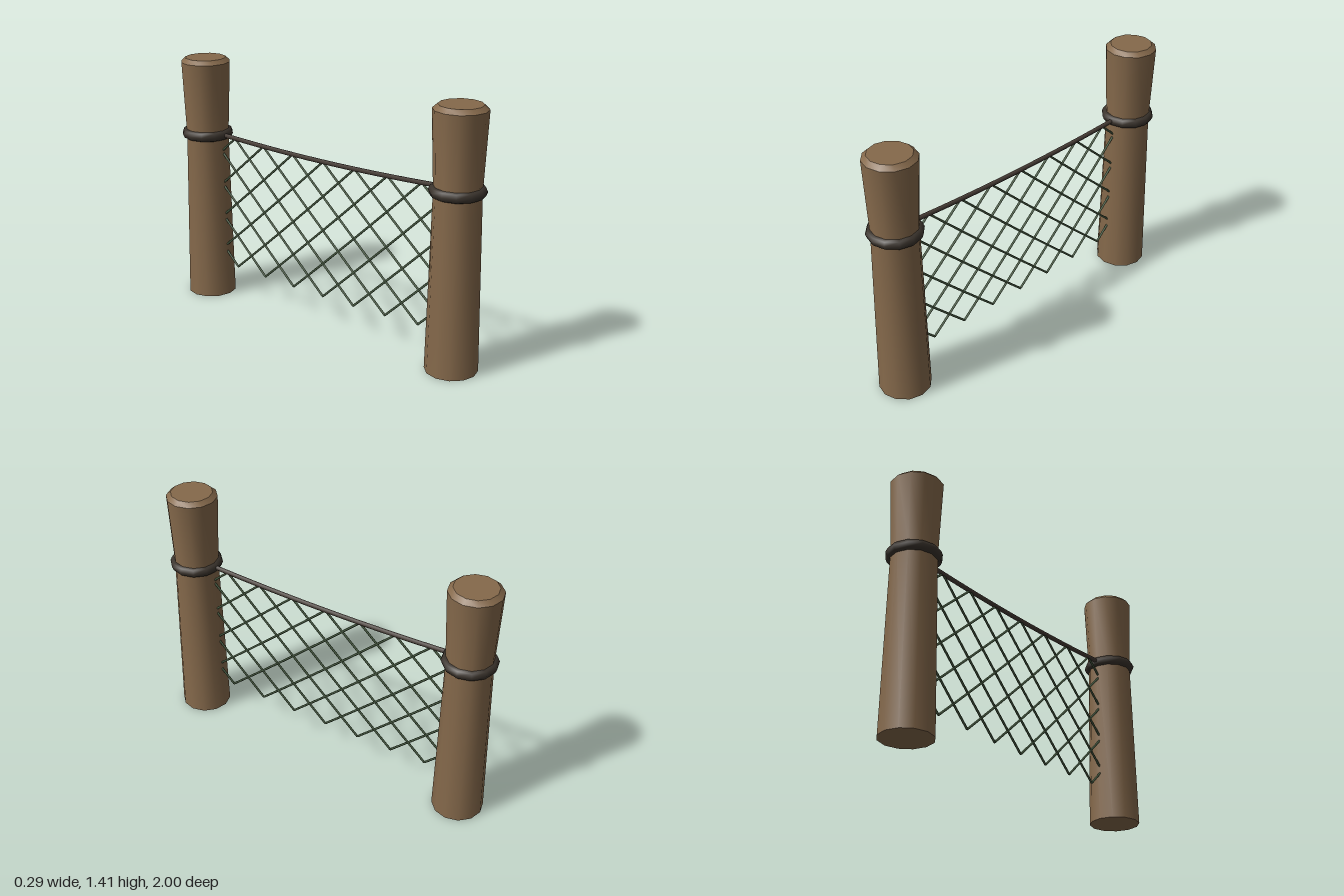
import * as THREE from 'three';
import { toCreasedNormals } from 'three/addons/utils/BufferGeometryUtils.js';

const POST_Z = 0.852;
const wood = new THREE.MeshStandardMaterial({ color: 0x85694b });
const binding = new THREE.MeshStandardMaterial({ color: 0x3b342d });
const ropeMat = new THREE.MeshStandardMaterial({ color: 0x463c35 });
const netMat = new THREE.MeshStandardMaterial({ color: 0x4a5e44 });

function mesh(name, geometry, material, parent) {
  const m = new THREE.Mesh(geometry, material);
  m.name = name;
  parent.add(m);
  return m;
}

// Height lost to the slack of the rope at a given z
const sag = (z) => 0.02 * Math.max(0, 1 - (z / 0.74) ** 2);

// Round bar between two points
function strand(a, b, radius, sides, parent) {
  const dir = b.clone().sub(a);
  const bar = mesh('netStrand', new THREE.CylinderGeometry(radius, radius, dir.length(), sides), netMat, parent);
  bar.position.copy(a).add(b).multiplyScalar(0.5);
  bar.quaternion.setFromUnitVectors(new THREE.Vector3(0, 1, 0), dir.normalize());
}

export function createModel() {
  const group = new THREE.Group();
  group.name = 'netFence';

  // Waisted posts with a bevelled top, each wrapped by a binding ring
  const profile = [[0, 0], [0.14, 0], [0.122, 0.97], [0.14, 1.385], [0.114, 1.408], [0, 1.408]]
    .map(([x, y]) => new THREE.Vector2(x, y));
  const postGeo = toCreasedNormals(new THREE.LatheGeometry(profile, 12), Math.PI / 5);
  const ringGeo = new THREE.TorusGeometry(0.117, 0.03, 8, 12).rotateX(Math.PI / 2);
  for (const [name, side] of [['front', 1], ['back', -1]]) {
    const post = new THREE.Group();
    post.name = name + 'PostGroup';
    post.position.z = side * POST_Z;
    group.add(post);
    mesh(name + 'Post', postGeo, wood, post);
    mesh(name + 'Binding', ringGeo, binding, post).position.y = 0.971;
  }

  // Sagging top rope
  const points = [];
  for (let i = -4; i <= 4; i++) {
    const z = i * 0.187;
    points.push(new THREE.Vector3(0, 0.974 - sag(z), z));
  }
  mesh('topRope', new THREE.TubeGeometry(new THREE.CatmullRomCurve3(points), 16, 0.0125, 6), ropeMat, group);

  // Diamond net: nodes on a staggered grid, joined diagonally downwards
  const net = new THREE.Group();
  net.name = 'net';
  group.add(net);
  const stepZ = 0.1063, stepY = 0.0975, cols = 7, rows = 8;
  const node = (i, j) => new THREE.Vector3(0, 0.973 - j * stepY - sag(i * stepZ), i * stepZ);
  for (let j = 0; j < rows; j++) {
    for (let i = -cols; i <= cols; i++) {
      if ((i + j) % 2 !== 0) continue;
      for (const d of [-1, 1]) {
        if (Math.abs(i + d) <= cols) strand(node(i, j), node(i + d, j + 1), 0.0065, 5, net);
      }
    }
  }
  return group;
}
